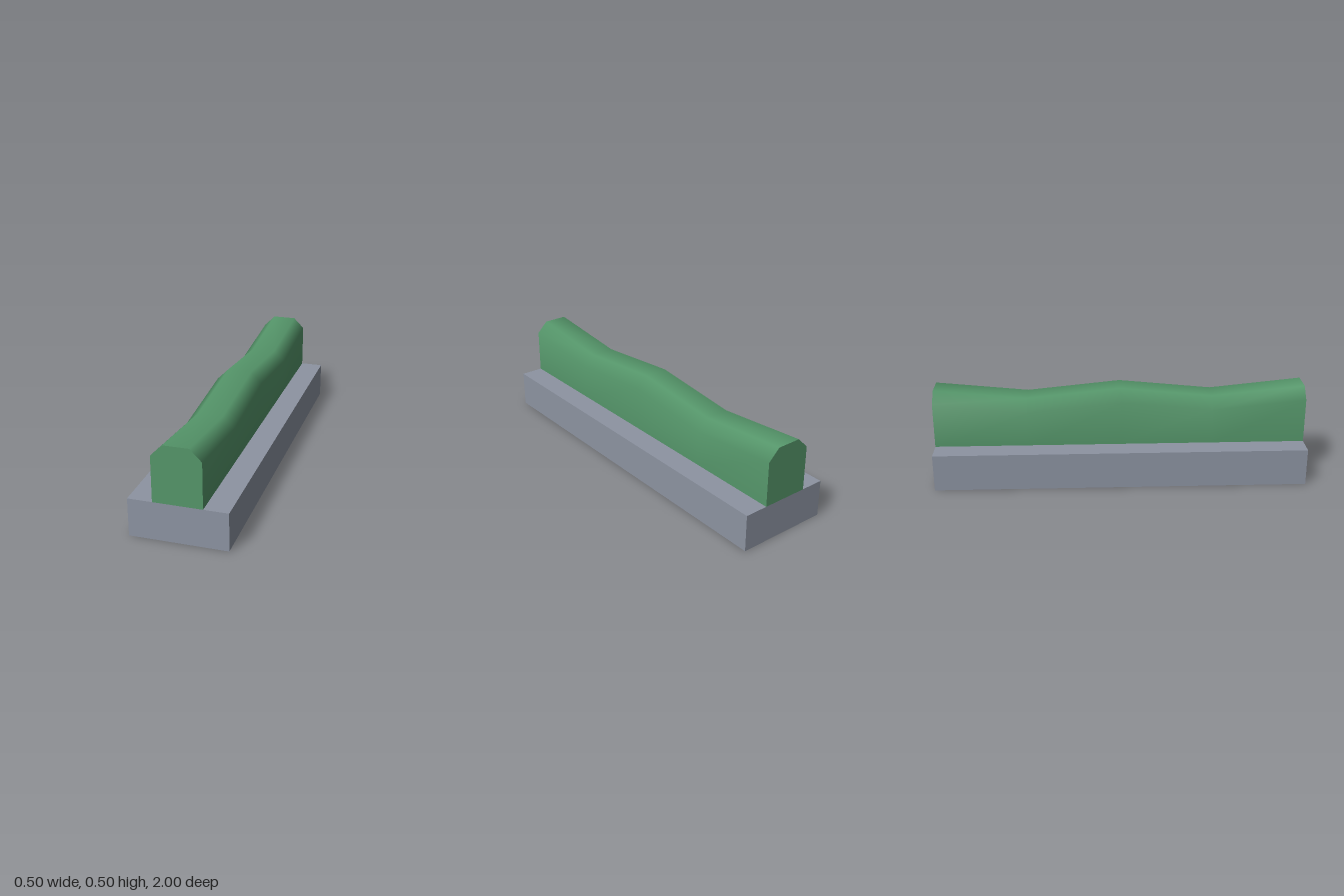
import * as THREE from 'three';

const baseGrey = new THREE.MeshStandardMaterial({ color: 0x8d94a2 });
baseGrey.name = 'baseGrey';
const hedgeGreen = new THREE.MeshStandardMaterial({ color: 0x55966a });
hedgeGreen.name = 'hedgeGreen';

const BASE_HEIGHT = 0.2;
const HALF_WIDTH = 0.125;
const CHAMFER = 0.06;

// Chamfered cross-section, from the right foot over the top to the left foot
function section(top) {
  const half = [[HALF_WIDTH, BASE_HEIGHT], [HALF_WIDTH, top - CHAMFER], [HALF_WIDTH - CHAMFER, top]];
  return [...half, ...half.map(([x, y]) => [-x, y]).reverse()];
}

// Smooth skin lofted through sections of alternating height
function hedgeSkin(stations) {
  const positions = [];
  const index = [];
  const n = section(0.5).length;
  stations.forEach(([z, top], i) => {
    section(top).forEach(([x, y]) => positions.push(x, y, z));
    if (i === 0) return;
    for (let j = 0; j < n - 1; j++) {
      const a = (i - 1) * n + j;
      const c = i * n + j;
      index.push(a, a + 1, c, a + 1, c + 1, c);
    }
  });
  const geometry = new THREE.BufferGeometry();
  geometry.setAttribute('position', new THREE.Float32BufferAttribute(positions, 3));
  geometry.setIndex(index);
  geometry.computeVertexNormals();
  return geometry;
}

export function createModel() {
  const model = new THREE.Group();
  model.name = 'hedgeOnPlinth';
  const add = (name, geometry, material, parent) => {
    const mesh = new THREE.Mesh(geometry, material);
    mesh.name = name;
    parent.add(mesh);
    return mesh;
  };

  // Plinth
  add('plinth', new THREE.BoxGeometry(0.5, BASE_HEIGHT, 2), baseGrey, model).position.y = BASE_HEIGHT / 2;

  // Wavy hedge
  const hedge = new THREE.Group();
  hedge.name = 'hedge';
  model.add(hedge);
  const stations = [[-1, 0.5], [-0.5, 0.45], [0, 0.5], [0.5, 0.45], [1, 0.5]];
  add('hedgeSkin', hedgeSkin(stations), hedgeGreen, hedge);

  // Flat ends
  const endShape = new THREE.Shape(section(0.5).map(([x, y]) => new THREE.Vector2(x, y)));
  for (const side of [1, -1]) {
    const end = add(side > 0 ? 'hedgeFrontEnd' : 'hedgeBackEnd', new THREE.ShapeGeometry(endShape), hedgeGreen, hedge);
    end.position.z = side;
    if (side < 0) end.rotation.y = Math.PI;
  }
  return model;
}
